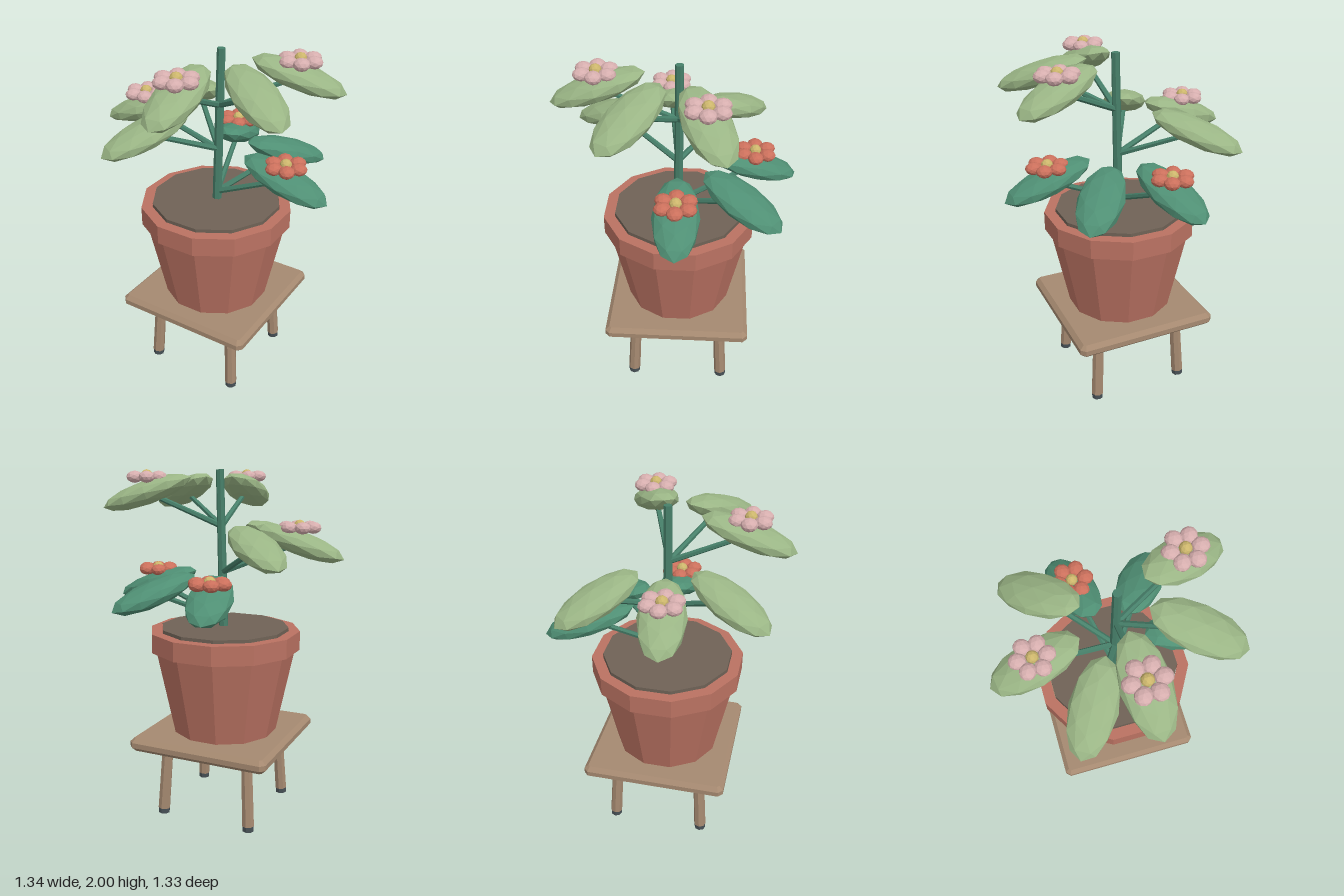
import * as THREE from 'three';

const mat = (name, color) => {
  const m = new THREE.MeshStandardMaterial({ color, flatShading: true });
  m.name = name;
  return m;
};

export function createModel() {
  const M = {
    wood: mat('wood', 0xa58970),
    foot: mat('darkFoot', 0x465055),
    clay: mat('terracotta', 0xba7262),
    soil: mat('soil', 0x6f6256),
    stem: mat('stemGreen', 0x47806a),
    dark: mat('darkLeaf', 0x4f8f74),
    light: mat('lightLeaf', 0x9ab585),
    pink: mat('pinkPetal', 0xd6aeae),
    red: mat('redPetal', 0xcb705c),
    gold: mat('goldCentre', 0xccb66c),
  };
  const root = new THREE.Group();
  root.name = 'pottedPlantOnStool';
  const add = (parent, name, geo, material, x = 0, y = 0, z = 0) => {
    const mesh = new THREE.Mesh(geo, material);
    mesh.name = name;
    mesh.position.set(x, y, z);
    parent.add(mesh);
    return mesh;
  };
  // Straight rod between two points
  const rod = (parent, name, a, b, r0, r1, sides, material) => {
    const dir = b.clone().sub(a);
    const mesh = add(parent, name, new THREE.CylinderGeometry(r1, r0, dir.length(), sides), material);
    mesh.position.copy(a).add(b).multiplyScalar(0.5);
    mesh.quaternion.setFromUnitVectors(new THREE.Vector3(0, 1, 0), dir.normalize());
    return mesh;
  };
  const V = (x, y, z) => new THREE.Vector3(x, y, z);

  // Stool: chamfered square seat on four splayed legs with dark feet
  const stool = new THREE.Group();
  stool.name = 'stool';
  stool.position.set(-0.007, 0, -0.007);
  root.add(stool);
  const h = 0.395, c = 0.012;
  const square = new THREE.Shape([
    [h, -h + c], [h, h - c], [h - c, h], [-h + c, h],
    [-h, h - c], [-h, -h + c], [-h + c, -h], [h - c, -h],
  ].map(([x, y]) => new THREE.Vector2(x, y)));
  const seatGeo = new THREE.ExtrudeGeometry(square, {
    depth: 0.03, bevelEnabled: true, bevelSize: 0.024, bevelThickness: 0.024, bevelSegments: 1,
  });
  seatGeo.rotateX(-Math.PI / 2);
  add(stool, 'seat', seatGeo, M.wood, 0, 0.444, 0);
  for (const sx of [-1, 1]) for (const sz of [-1, 1]) {
    rod(stool, 'leg', V(sx * 0.273, 0.03, sz * 0.273), V(sx * 0.25, 0.43, sz * 0.25), 0.036, 0.033, 8, M.wood);
    rod(stool, 'foot', V(sx * 0.274, 0, sz * 0.274), V(sx * 0.273, 0.035, sz * 0.273), 0.034, 0.034, 8, M.foot);
  }

  // Pot: tapered body, thick rim and soil
  const pot = new THREE.Group();
  pot.name = 'pot';
  pot.position.set(-0.007, 0, -0.003);
  root.add(pot);
  const lathe = (name, pts, material) => add(pot, name,
    new THREE.LatheGeometry(pts.map(([x, y]) => new THREE.Vector2(x, y)), 12, Math.PI / 12), material);
  lathe('potBody', [[0, 0.495], [0.308, 0.495], [0.413, 1.0]], M.clay);
  lathe('potRim', [[0.38, 0.99], [0.438, 0.99], [0.438, 1.1], [0.375, 1.1], [0.375, 1.03]], M.clay);
  lathe('soil', [[0.372, 1.06], [0.372, 1.118], [0, 1.118]], M.soil);

  // Plant
  const plant = new THREE.Group();
  plant.name = 'plant';
  root.add(plant);
  rod(plant, 'stem', V(0, 1.1, 0), V(0.02, 2.0, -0.008), 0.027, 0.023, 7, M.stem);

  const ball = new THREE.IcosahedronGeometry(1, 1);
  const leafGeo = ball.clone().scale(0.263, 0.066, 0.126);
  const petalGeo = ball.clone().scale(0.047, 0.033, 0.044);
  const centreGeo = ball.clone().scale(0.033, 0.033, 0.033);

  // Flower: six petals around a gold centre
  const flower = (x, y, z, material) => {
    const g = new THREE.Group();
    g.name = 'flower';
    g.position.set(x, y, z);
    plant.add(g);
    for (let i = 0; i < 6; i++) {
      const a = i * Math.PI / 3;
      add(g, 'petal', petalGeo, material, Math.cos(a) * 0.075, 0, Math.sin(a) * 0.075).rotation.y = -a;
    }
    add(g, 'flowerCentre', centreGeo, M.gold, 0, 0.008, 0);
  };

  // Three tiers of drooping leaves: [x, z, has flower]
  const tiers = [
    { y: 1.345, base: 1.16, leaf: M.dark, petal: M.red, leaves: [[-0.115, -0.425, 1], [0.256, -0.353, 0], [0.423, -0.01, 1]] },
    { y: 1.608, base: 1.43, leaf: M.light, petal: M.pink, leaves: [[-0.427, 0.063, 1], [-0.207, 0.368, 0], [-0.32, -0.302, 0]] },
    { y: 1.875, base: 1.69, leaf: M.light, petal: M.pink, leaves: [[0.398, -0.16, 1], [0.357, 0.215, 0], [0.035, 0.415, 1]] },
  ];
  for (const t of tiers) for (const [x, z, hasFlower] of t.leaves) {
    const sx = 0.02 * (t.base - 1.1) / 0.9;
    rod(plant, 'leafStalk', V(sx, t.base, 0), V(x, t.y, z), 0.017, 0.014, 6, M.stem);
    const leaf = add(plant, 'leaf', leafGeo, t.leaf, x, t.y, z);
    leaf.rotation.order = 'YXZ';
    leaf.rotation.y = Math.atan2(-z, x - sx);
    leaf.rotation.z = -0.33;
    if (hasFlower) flower(x, t.y + 0.085, z, t.petal);
  }
  return root;
}
